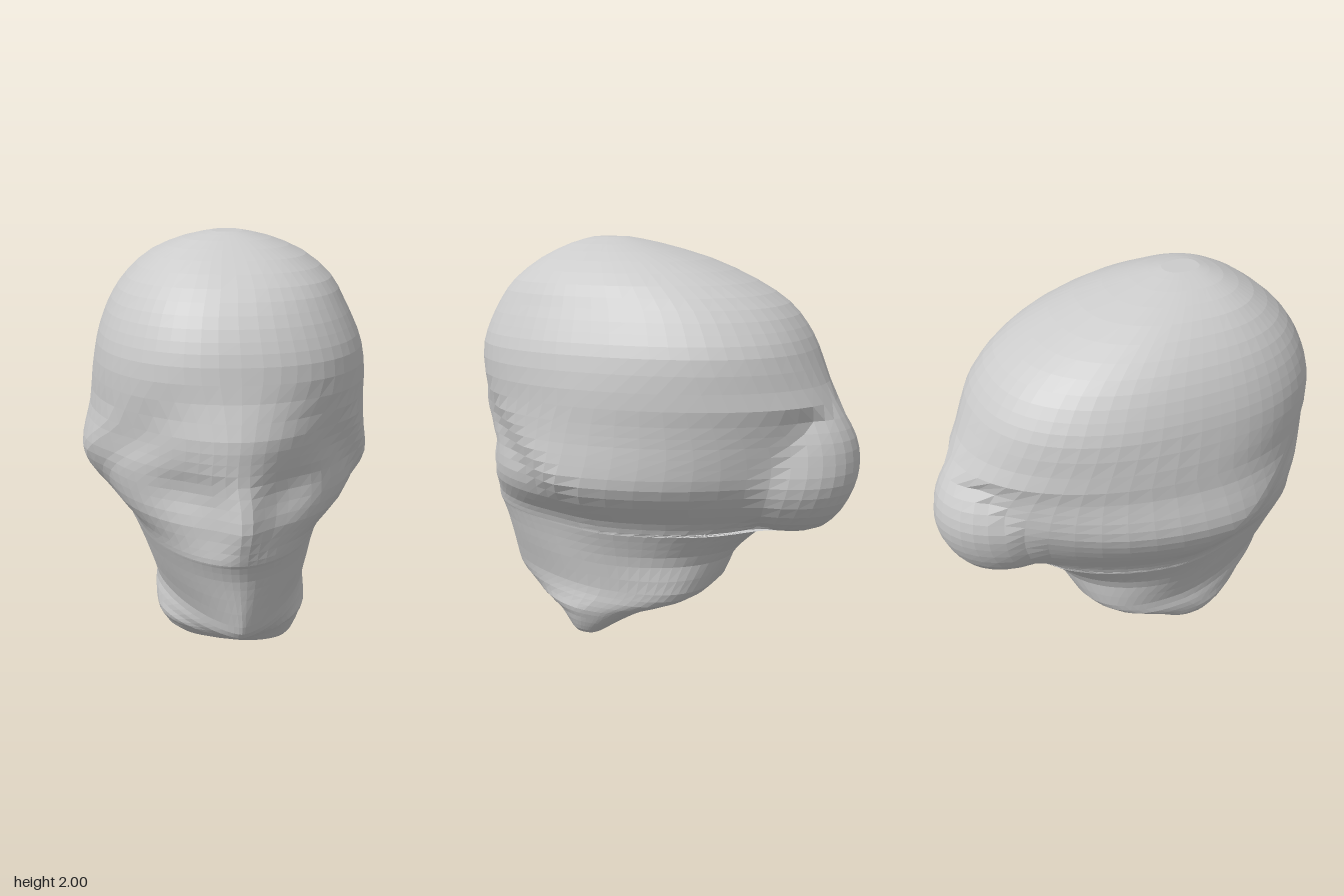
import * as THREE from 'three';

const { smoothstep, lerp, clamp } = THREE.MathUtils;
const bell = (v, centre, spread) => Math.exp(-(((v - centre) / spread) ** 2));

// Horizontal sections, bottom to top: y, front z, back z, right-side x, left-side x
const SECTIONS = [
  [0.00, 0.38, 0.28, 0.08, 0.22], [0.02, 0.43, 0.24, -0.06, 0.30],
  [0.07, 0.49, 0.16, -0.25, 0.34], [0.13, 0.57, 0.06, -0.32, 0.37],
  [0.18, 0.72, -0.04, -0.34, 0.39], [0.24, 0.83, -0.21, -0.345, 0.395],
  [0.31, 0.865, -0.30, -0.34, 0.395], [0.45, 0.89, -0.37, -0.385, 0.42],
  [0.55, 0.91, -0.46, -0.43, 0.45], [0.625, 0.94, -0.57, -0.47, 0.48],
  [0.64, 0.95, -0.78, -0.475, 0.485], [0.70, 0.97, -0.88, -0.51, 0.52],
  [0.80, 1.00, -0.95, -0.60, 0.62], [0.90, 0.99, -0.985, -0.66, 0.675],
  [1.00, 0.97, -0.99, -0.685, 0.675], [1.10, 0.97, -0.97, -0.67, 0.665],
  [1.20, 0.97, -0.92, -0.645, 0.66], [1.35, 0.93, -0.83, -0.63, 0.655],
  [1.50, 0.91, -0.76, -0.605, 0.63], [1.60, 0.88, -0.70, -0.575, 0.59],
  [1.70, 0.83, -0.61, -0.53, 0.54], [1.80, 0.75, -0.45, -0.46, 0.48],
  [1.90, 0.62, -0.21, -0.35, 0.36], [1.97, 0.48, 0.05, -0.20, 0.20],
  [2.00, 0.38, 0.20, -0.07, 0.07],
];
const SIDES = 60;
const ROWS = (SECTIONS.length - 1) * 2;

// One smooth curve over height for each measured column
const curves = [1, 2, 3, 4].map((k) =>
  new THREE.SplineCurve(SECTIONS.map((s) => new THREE.Vector2(s[0], s[k]))));

// Half width at depth z of a rounded section running from back to front
function ovalWidth(z, back, middle, front, halfWidth, power) {
  const t = clamp(z > middle ? (z - middle) / (front - middle) : (middle - z) / (middle - back), 0, 1);
  return halfWidth * Math.pow(1 - Math.pow(t, power), 1 / power);
}

// Half width of the hair bun: flat underneath, fading out gently above
function bunHalfWidth(y) {
  const t = clamp(y > 0.95 ? (y - 0.95) / 0.5 : (0.95 - y) / 0.33, 0, 1);
  return 0.32 * Math.pow(1 - t * t, y > 0.95 ? 1 : 0.5);
}

function ring(t) {
  const y = curves[0].getPoint(t).x;
  const [front, back, xMin, xMax] = curves.map((c) => c.getPoint(t).y);
  const centreX = (xMin + xMax) / 2;
  const skullBack = Math.max(back, -0.55 - 0.5 * (y - 0.63));
  const middle = lerp(skullBack, front, 0.4 + 0.16 * smoothstep(y, 0.3, 0.8));
  // narrow chin, fuller face, squarer crown and neck stump
  const frontPower = 2.1 - 0.65 * smoothstep(y, 0.08, 0.22) +
    0.4 * smoothstep(y, 0.24, 0.6) + 0.45 * smoothstep(y, 1.1, 1.5);
  const backPower = 1.95 + 1.2 * (1 - smoothstep(y, 0.2, 0.5)) + 0.4 * smoothstep(y, 1.25, 1.55);
  const bunWidth = bunHalfWidth(y);
  const noseHeight = 0.06 * smoothstep(y, 0.62, 0.8) * (1 - smoothstep(y, 0.85, 1.08));
  const face = front - noseHeight;

  const points = [];
  for (let j = 0; j < SIDES; j++) {
    const a = (j / SIDES) * Math.PI * 2;
    const c = Math.cos(a);
    let z = middle + c * (c > 0 ? face - middle : middle - back);
    let width = ovalWidth(z, skullBack, middle, face, (xMax - xMin) / 2, c > 0 ? frontPower : backPower);
    // hair bun blended into the back of the skull
    if (bunWidth > 0) {
      const bun = ovalWidth(z, back, Math.max(-0.6, back + 0.1), 0.1, bunWidth, 2);
      width = Math.pow(width ** 4 + bun ** 4, 0.25);
    }
    // face set in below the sloping hairline
    const hairline = 0.8 + 0.75 * Math.pow(Math.max(0, z), 1.3);
    width *= 1 - 0.1 * smoothstep(hairline - y, -0.04, 0.18) *
      smoothstep(z, 0.05, 0.45) * smoothstep(y, 0.35, 0.7);
    const x = centreX + Math.sign(Math.sin(a)) * width;
    // eye sockets and nose ridge
    if (c > 0) {
      z -= 0.04 * bell(Math.abs(x), 0.24, 0.13) * bell(y, 0.97, 0.12);
      z += noseHeight * bell(x, 0.03, 0.085);
    }
    points.push(x, y, z);
  }
  return points;
}

function headGeometry() {
  const positions = [];
  const index = [];
  for (let i = 0; i <= ROWS; i++) positions.push(...ring(i / ROWS));
  const bottom = positions.length / 3;
  positions.push(0.15, 0, 0.33, 0, 2, 0.29);
  for (let j = 0; j < SIDES; j++) {
    const k = (j + 1) % SIDES;
    for (let i = 0; i < ROWS; i++) {
      const lower = i * SIDES;
      const upper = lower + SIDES;
      index.push(lower + j, lower + k, upper + k, lower + j, upper + k, upper + j);
    }
    // closing fans under the neck and on the crown
    index.push(bottom, k, j, bottom + 1, ROWS * SIDES + j, ROWS * SIDES + k);
  }
  const geometry = new THREE.BufferGeometry();
  geometry.setAttribute('position', new THREE.Float32BufferAttribute(positions, 3));
  geometry.setIndex(index);
  geometry.computeVertexNormals();
  return geometry;
}

export function createModel() {
  const group = new THREE.Group();
  group.name = 'sculptedHead';
  const material = new THREE.MeshStandardMaterial({ color: 0xcccccc, flatShading: true });
  const head = new THREE.Mesh(headGeometry(), material);
  head.name = 'headWithHairBun';
  group.add(head);
  return group;
}
